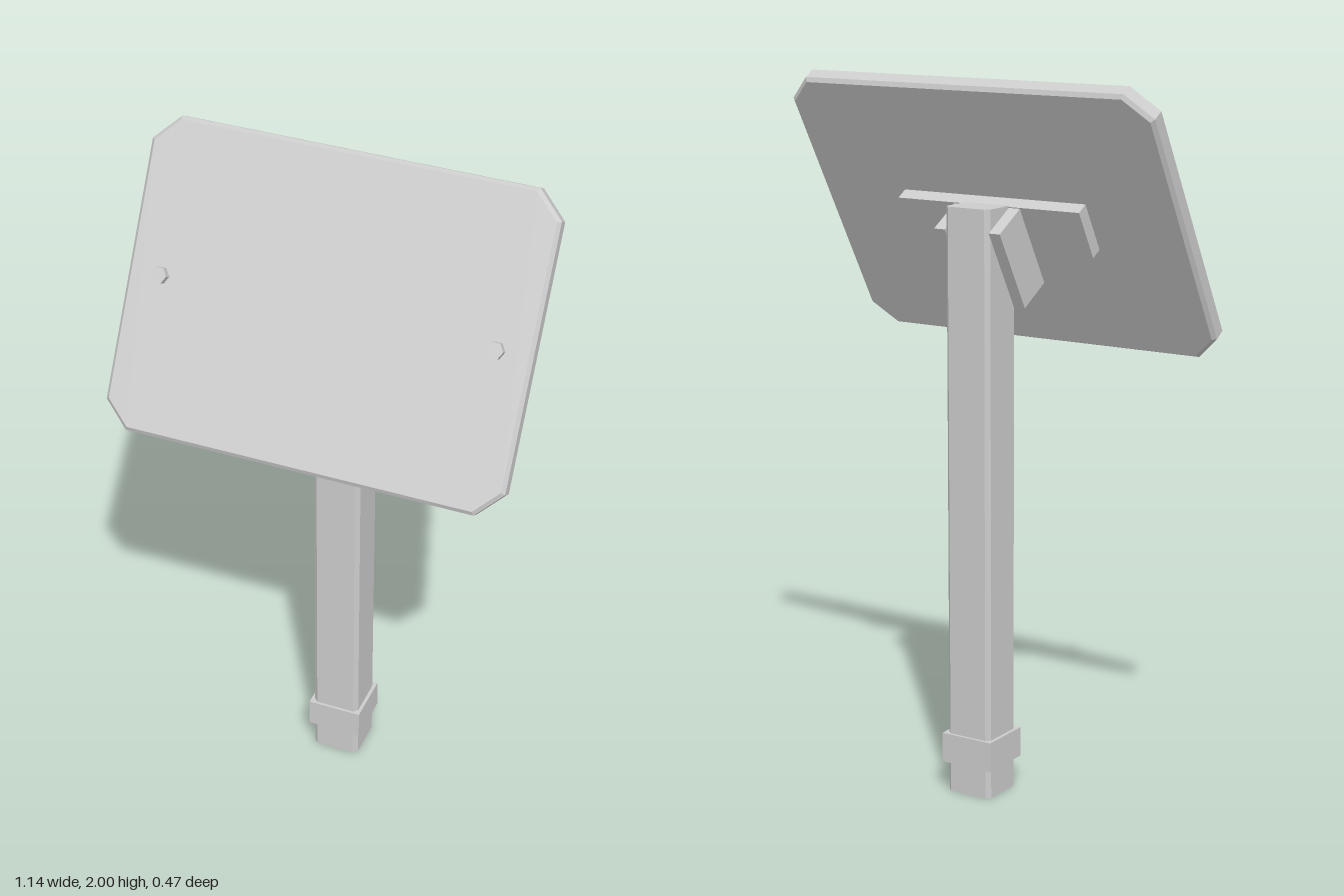
import * as THREE from 'three';

// Rectangle outline with cut corners
function chamferedRect(w, h, c) {
  const x = w / 2, y = h / 2;
  return new THREE.Shape([
    [-x + c, -y], [x - c, -y], [x, -y + c], [x, y - c],
    [x - c, y], [-x + c, y], [-x, y - c], [-x, -y + c],
  ].map(([a, b]) => new THREE.Vector2(a, b)));
}

export function createModel() {
  const model = new THREE.Group();
  const grey = new THREE.MeshStandardMaterial({ color: 0xcccccc, flatShading: true });
  grey.name = 'light grey';

  const add = (parent, name, geometry, x = 0, y = 0, z = 0) => {
    const mesh = new THREE.Mesh(geometry, grey);
    mesh.name = name;
    mesh.position.set(x, y, z);
    parent.add(mesh);
    return mesh;
  };

  // Upright post with chamfered edges, and the collar near its foot
  const postZ = -0.125;
  const post = new THREE.ExtrudeGeometry(chamferedRect(0.14, 0.14, 0.012), { depth: 1.655, bevelEnabled: false });
  post.rotateX(-Math.PI / 2);
  add(model, 'post', post, 0, 0, postZ);
  add(model, 'collar', new THREE.BoxGeometry(0.16, 0.085, 0.156), 0, 0.1275, postZ);

  // Tilted head: local z is the panel's facing direction
  const head = new THREE.Group();
  head.name = 'tiltedHead';
  head.position.set(0, 1.62, 0);
  head.rotation.x = -Math.PI / 6;
  model.add(head);

  // Panel with cut corners and a narrow bevel front and back
  const bevel = 0.01;
  const panel = new THREE.ExtrudeGeometry(chamferedRect(1.14 - 2 * bevel, 0.856 - 2 * bevel, 0.066), {
    depth: 0.056 - 2 * bevel, bevelEnabled: true, bevelSize: bevel, bevelThickness: bevel, bevelSegments: 1,
  });
  panel.translate(0, 0, -0.028 + bevel);
  add(head, 'panel', panel);

  // Mounting bar on the back of the panel
  add(head, 'mountingBar', new THREE.BoxGeometry(0.58, 0.15, 0.04), 0, 0, -0.046);

  for (const side of [-1, 1]) {
    // Bracket plates either side of the post
    add(head, 'bracketPlate', new THREE.BoxGeometry(0.035, 0.25, 0.114), side * 0.0875, -0.053, -0.123);

    // Hexagonal bolt heads
    const bolt = new THREE.CylinderGeometry(0.024, 0.024, 0.024, 6);
    bolt.rotateY(Math.PI / 6).rotateX(Math.PI / 2);
    add(head, 'bolt', bolt, side * 0.473, 0.004, 0.039);
  }
  return model;
}
